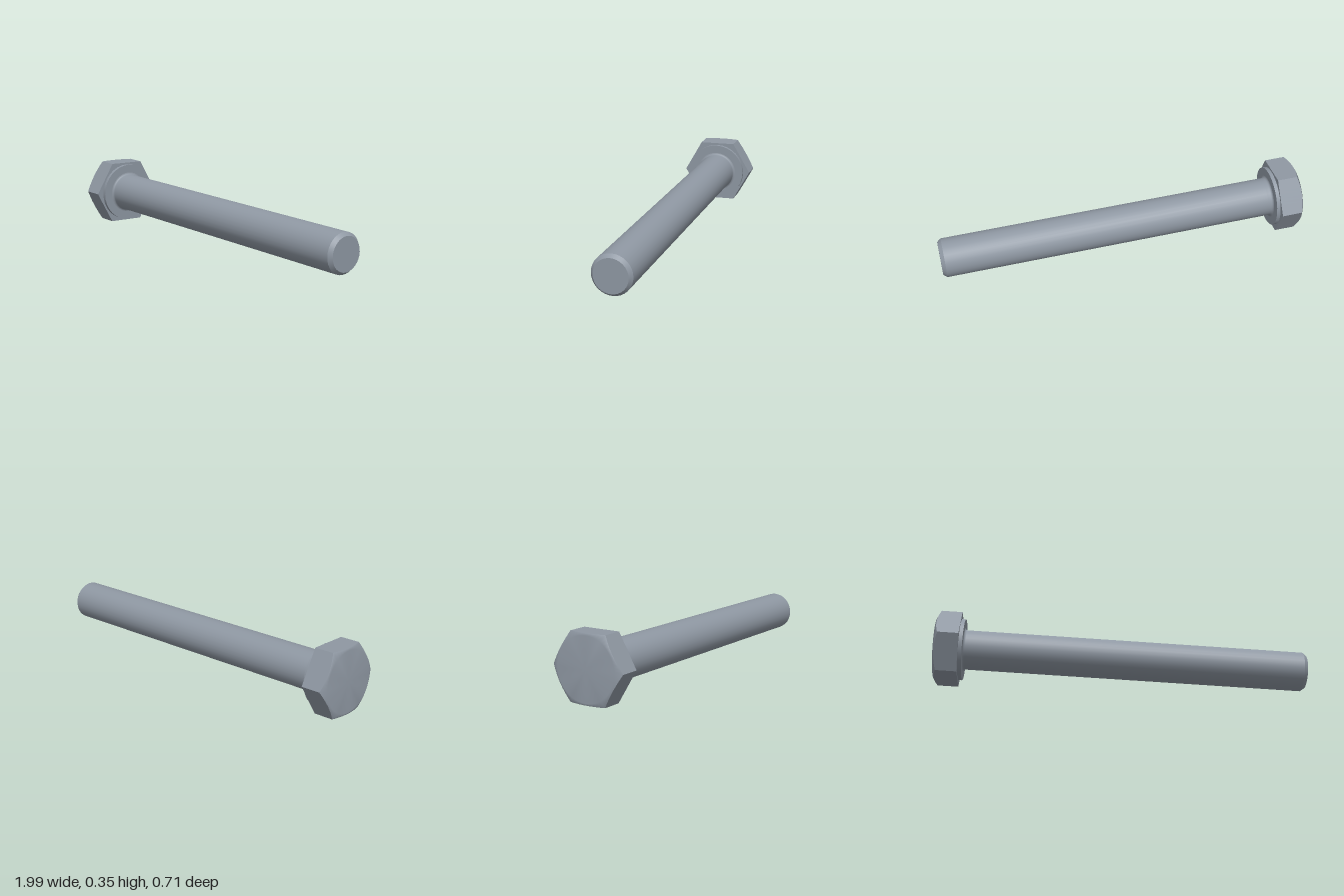
import * as THREE from 'three';
import { mergeVertices } from 'three/addons/utils/BufferGeometryUtils.js';

const SEG = 32;

// Skin joining rows of points; seams are welded so the skin shades smoothly
function skin(rows) {
  const n = rows[0].length, pos = [], index = [];
  rows.forEach(row => row.forEach(p => pos.push(p.x, p.y, p.z)));
  for (let r = 0; r < rows.length - 1; r++) {
    for (let i = 0; i < n - 1; i++) {
      const a = r * n + i, b = a + n;
      index.push(a, b, a + 1, b, b + 1, a + 1);
    }
  }
  const g = new THREE.BufferGeometry();
  g.setAttribute('position', new THREE.Float32BufferAttribute(pos, 3));
  g.setIndex(index);
  const welded = mergeVertices(g, 1e-5);
  welded.computeVertexNormals();
  return welded;
}

export function createModel() {
  const steel = new THREE.MeshStandardMaterial({ color: 0x8f98a3 });
  steel.name = 'steel grey';

  const bolt = new THREE.Group();
  bolt.name = 'bolt';
  const add = (name, geometry) => {
    const m = new THREE.Mesh(geometry, steel);
    m.name = name;
    bolt.add(m);
  };
  const lathe = (name, pts) =>
    add(name, new THREE.LatheGeometry(pts.map(p => new THREE.Vector2(...p)), SEG));

  // Shank along local +y, with a small fillet at the head
  const length = 1.837, radius = 0.105, tipRadius = 0.089, fillet = 0.012;
  const foot = [];
  for (let i = 0; i <= 4; i++) {
    const a = i / 4 * Math.PI / 2;
    foot.push([radius + fillet * (1 - Math.sin(a)), fillet * (1 - Math.cos(a))]);
  }
  lathe('shank', [...foot, [radius, 0.03], [radius, length - 0.02]]);
  lathe('tipChamfer', [[radius, length - 0.02], [tipRadius, length]]);
  lathe('tipFace', [[tipRadius, length], [0, length]]);

  // Washer face under the head
  const seat = -0.02, washer = 0.163;
  lathe('washerRim', [[washer, seat], [washer, 0]]);
  lathe('washerFace', [[washer, 0], [radius, 0]]);

  // Hexagonal head: the conical chamfer scallops the outer edge of each side
  const corner = 0.2, crown = -0.15, flatRadius = 0.163, steps = 10;
  const chamferY = r => crown + Math.max(0, r - flatRadius) * 0.55;
  const vertex = k => new THREE.Vector3(
    corner * Math.cos(k * Math.PI / 3), 0, corner * Math.sin(k * Math.PI / 3));
  const rim = [];
  for (let k = 0; k < 6; k++) {
    const outer = [], inner = [];
    for (let i = 0; i <= steps; i++) {
      const p = vertex(k).lerp(vertex(k + 1), i / steps);
      outer.push(p.clone().setY(chamferY(p.length())));
      inner.push(p.clone().setY(seat));
    }
    add('headSide', skin([outer, inner]));
    rim.push(...(k ? outer.slice(1) : outer));
  }
  const ring = (r, y) => rim.map(p => p.clone().setY(0).setLength(r).setY(y));
  add('headCrown', skin([ring(0, crown), ring(flatRadius, crown), rim]));
  add('headUnderside', skin([rim.map(p => p.clone().setY(seat)), ring(0.15, seat)]));

  // Lay the bolt down: resting on the head and the tip
  const axis = new THREE.Vector3(1.795, -0.068, 0.3865).normalize();
  const side = new THREE.Vector3(-axis.z, 0, axis.x).normalize();
  const up = new THREE.Vector3().crossVectors(side, axis);
  bolt.quaternion.setFromRotationMatrix(new THREE.Matrix4().makeBasis(side, axis, up));
  bolt.position.set(-0.815, 0.173, -0.133);

  const model = new THREE.Group();
  model.name = 'hexBolt';
  model.add(bolt);
  return model;
}
